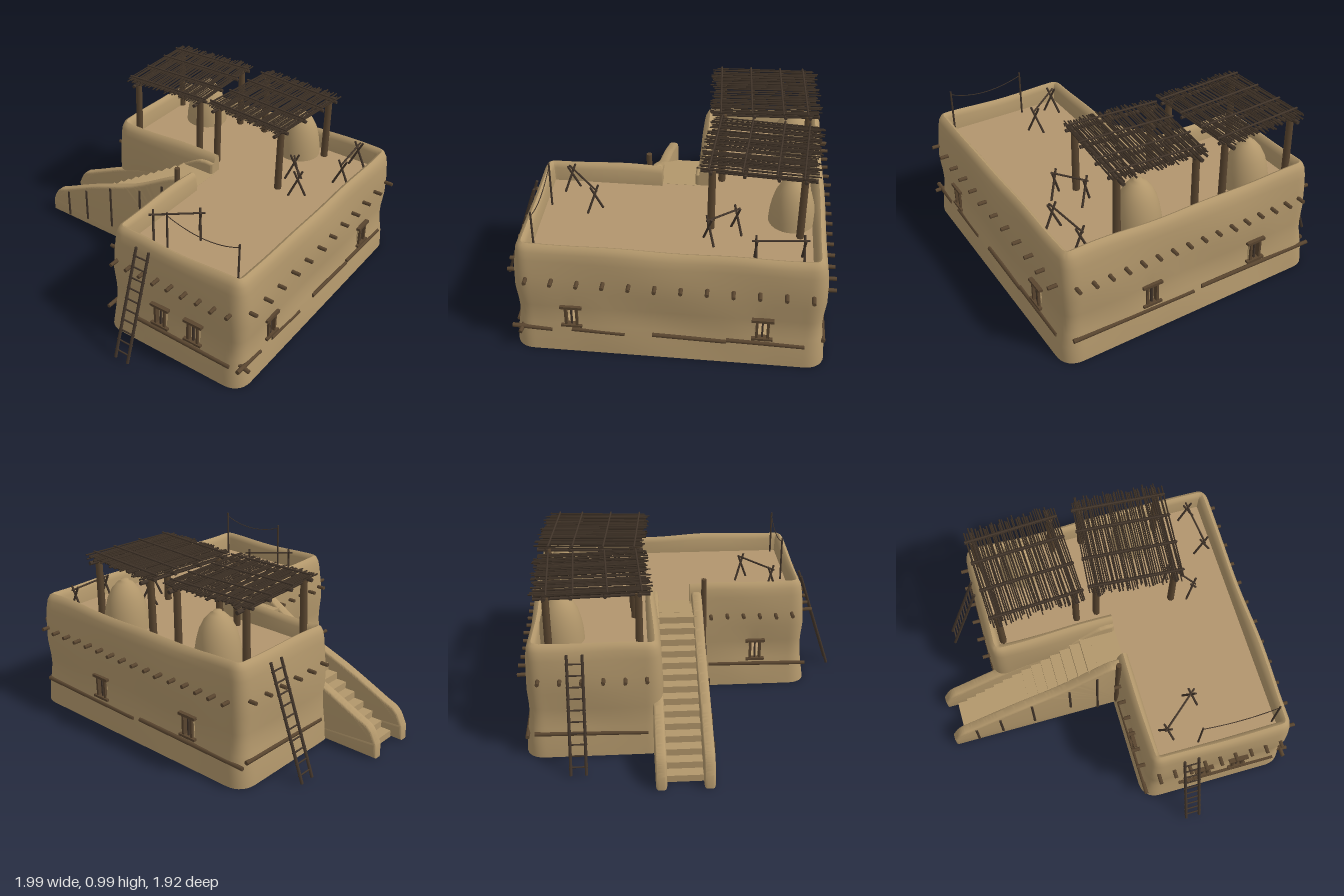
import * as THREE from 'three';
import { toCreasedNormals } from 'three/addons/utils/BufferGeometryUtils.js';

const FLOOR = 0.57;

export function createModel() {
  const model = new THREE.Group();
  const mat = (name, color, side = THREE.FrontSide) => {
    const m = new THREE.MeshStandardMaterial({ color, side });
    m.name = name;
    return m;
  };
  const mud = mat('mud plaster', 0xb2976b, THREE.DoubleSide);
  const earth = mat('packed earth', 0xb2956e);
  const wood = mat('beam wood', 0x59452f);
  const dark = mat('dark wood', 0x42352a);
  const reed = mat('reed', 0x3b2f24);

  let seed = 7;
  const rand = (a, b) => {
    seed = (seed * 16807) % 2147483647;
    return a + (b - a) * seed / 2147483647;
  };
  const group = (name, parent = model) => {
    const g = new THREE.Group();
    g.name = name;
    parent.add(g);
    return g;
  };
  const add = (parent, name, geo, material) => {
    const m = new THREE.Mesh(geo, material);
    m.name = name;
    parent.add(m);
    return m;
  };
  const box = (parent, name, size, pos, material) => {
    const m = add(parent, name, new THREE.BoxGeometry(...size), material);
    m.position.set(...pos);
    return m;
  };
  // Round pole between two points
  const pole = (parent, name, a, b, r, material, sides = 7) => {
    const p = new THREE.Vector3(...a), d = new THREE.Vector3(...b).sub(p);
    const m = add(parent, name, new THREE.CylinderGeometry(r * 0.92, r, d.length(), sides), material);
    m.position.copy(p).addScaledVector(d, 0.5);
    m.quaternion.setFromUnitVectors(new THREE.Vector3(0, 1, 0), d.normalize());
    return m;
  };

  // Window centres on the wall line: x, z, turn about y
  const windows = [
    [0.42, 0.735, 0], [0.64, 0.735, 0], [0.93, 0.44, Math.PI / 2], [0.93, -0.59, Math.PI / 2],
    [0.42, -0.905, Math.PI], [-0.27, -0.905, Math.PI], [0.075, 0.44, -Math.PI / 2],
  ];

  // Outer wall: one profile swept along an L-shaped line, open at the stair
  const corners = [[0.075, 0.03], [0.075, 0.735], [0.93, 0.735], [0.93, -0.905], [-0.635, -0.905], [-0.635, -0.17], [0.115, -0.17]];
  const path = new THREE.Path().moveTo(...corners[0]);
  for (let i = 1; i < corners.length - 1; i++) {
    const c = new THREE.Vector2(...corners[i]);
    const toward = (k) => new THREE.Vector2(...corners[k]).sub(c).setLength(0.08).add(c);
    const p = toward(i - 1), q = toward(i + 1);
    path.lineTo(p.x, p.y);
    path.quadraticCurveTo(c.x, c.y, q.x, q.y);
  }
  path.lineTo(...corners.at(-1));
  const profile = [
    [0.03, 0], [0.021, 0.1], [0.009, 0.18], [0.003, 0.24], [0.004, 0.3], [0.012, 0.4], [0.008, 0.5], [0, 0.6],
    [-0.008, 0.645], [-0.022, 0.674], [-0.038, 0.684], [-0.054, 0.675], [-0.064, 0.65],
    [-0.07, 0.56], [-0.07, 0.3], [-0.065, 0.18], [-0.01, 0.06], [0.008, 0], [0.03, 0],
  ];
  const N = 400, M = profile.length;
  const pts = path.getSpacedPoints(N);
  const pos = [], idx = [];
  for (let i = -1; i <= N + 1; i++) {
    const k = Math.min(Math.max(i, 0), N), p = pts[k];
    const t = pts[Math.min(k + 1, N)].clone().sub(pts[Math.max(k - 1, 0)]).normalize();
    const dent = windows.reduce((sum, [x, z]) => sum + Math.exp(-((p.x - x) ** 2 + (p.y - z) ** 2) / 0.012), 0);
    profile.forEach(([po, py], j) => {
      const s = k / N * 6.26;
      let o = po, y = py;
      if (j < 12 && py > 0) {
        o += 0.006 * Math.sin(s * 5.3 + py * 5) * Math.sin(py * 6 + s * 1.7);
        o -= 0.006 * dent * Math.exp(-((py - 0.25) ** 2) / 0.015);
      }
      if (py > 0.6) y += 0.006 * Math.sin(s * 4.1) + 0.004 * Math.sin(s * 9.7);
      if (i < 0 || i > N) { o = -0.03; y = 0.34; }
      pos.push(p.x - t.y * o, y, p.y + t.x * o);
    });
  }
  const isOpening = (i, y0, y1) => {
    if (i < 1 || i > N || Math.min(y0, y1) < 0.17 || Math.max(y0, y1) > 0.31) return false;
    const mx = (pts[i - 1].x + pts[i].x) / 2, mz = (pts[i - 1].y + pts[i].y) / 2;
    return windows.some(([x, z]) => Math.hypot(mx - x, mz - z) < 0.032);
  };
  for (let i = 0; i < N + 2; i++) {
    for (let j = 0; j < M - 1; j++) {
      if (isOpening(i, profile[j][1], profile[j + 1][1])) continue;
      const a = i * M + j, b = a + M;
      idx.push(a, b, a + 1, b, b + 1, a + 1);
    }
  }
  const wallGeo = new THREE.BufferGeometry();
  wallGeo.setAttribute('position', new THREE.Float32BufferAttribute(pos, 3));
  wallGeo.setIndex(idx);
  add(model, 'outerWall', toCreasedNormals(wallGeo, 0.9), mud);

  // Roof terrace and raised ground floor slabs; inset is measured from the wall line
  const slab = (name, y, inset) => {
    const x0 = 0.075 + inset, x1 = 0.93 - inset, z1 = 0.735 - inset, zb = -0.905 + inset, xw = -0.635 + inset, zn = -0.17 - inset;
    const plan = new THREE.Shape([[x0, z1], [x1, z1], [x1, zb], [xw, zb], [xw, zn], [x0, zn]]
      .map(([x, z]) => new THREE.Vector2(x, z)));
    const geo = new THREE.ExtrudeGeometry(plan, { depth: 0.02, bevelEnabled: false }).rotateX(Math.PI / 2);
    add(model, name, geo, earth).position.y = y;
  };
  slab('roofTerrace', FLOOR, 0.035);
  slab('groundFloor', 0.056, 0.012);
  box(model, 'floorHatch', [0.19, 0.006, 0.07], [0.33, 0.034, -0.2], dark);
  box(model, 'doorThreshold', [0.07, 0.02, 0.2], [0.085, 0.02, 0.26], dark);

  // Window frames with reveals, lintel, sill and bars
  for (const [x, z, turn] of windows) {
    const w = group('window');
    w.position.set(x, 0, z);
    w.rotation.y = turn;
    for (const s of [-1, 1]) {
      box(w, 'reveal', [0.01, 0.12, 0.075], [s * 0.036, 0.24, -0.033], mud);
      box(w, 'reveal', [0.07, 0.01, 0.075], [0, 0.24 + s * 0.062, -0.033], mud);
      box(w, 'jamb', [0.014, 0.13, 0.03], [s * 0.03, 0.24, 0.003], wood);
    }
    box(w, 'bar', [0.01, 0.13, 0.012], [0, 0.24, 0.003], dark);
    box(w, 'lintel', [0.12, 0.016, 0.035], [0, 0.303, 0.005], wood);
    box(w, 'sill', [0.115, 0.014, 0.035], [0, 0.177, 0.007], wood);
  }

  // Projecting roof beam ends
  const beams = group('roofBeams');
  const beamRow = (from, to, n, dx, dz) => {
    for (let i = 0; i < n; i++) {
      const f = i / (n - 1), x = from[0] + (to[0] - from[0]) * f, z = from[1] + (to[1] - from[1]) * f;
      const y = 0.485 + rand(-0.003, 0.003), out = rand(0.048, 0.062);
      pole(beams, 'beamEnd', [x - dx * 0.04, y, z - dz * 0.04], [x + dx * out, y, z + dz * out], 0.012, wood);
    }
  };
  beamRow([0.125, 0.735], [0.87, 0.735], 9, 0, 1);
  beamRow([0.93, 0.67], [0.93, -0.84], 12, 1, 0);
  beamRow([-0.56, -0.905], [0.87, -0.905], 16, 0, -1);
  beamRow([-0.635, -0.84], [-0.635, -0.25], 6, -1, 0);
  beamRow([0.075, 0.16], [0.075, 0.66], 6, -1, 0);

  // Tie logs bedded low in the walls
  const logs = group('tieLogs');
  const log = (x0, z0, x1, z1) => pole(logs, 'tieLog', [x0, 0.148, z0], [x1, 0.136, z1], 0.013, wood);
  log(0.27, 0.75, 0.88, 0.75);
  log(0.9, 0.71, 0.985, 0.72);
  log(0.944, 0.77, 0.944, 0.55);
  log(0.944, 0.44, 0.944, 0.15);
  log(0.944, 0, 0.944, -0.4);
  log(0.944, -0.4, 0.944, -0.82);
  log(0.9, -0.919, 0.15, -0.919);
  log(0.1, -0.919, -0.66, -0.919);
  log(-0.649, -0.88, -0.649, -0.25);
  log(0.061, 0.15, 0.061, 0.76);

  // Stair: two sloping side walls with a thin stepped flight between
  const stair = group('stair');
  const side = new THREE.Shape().moveTo(-0.985, 0.015).lineTo(-0.985, 0.08);
  side.splineThru([[-0.94, 0.16], [-0.85, 0.205], [-0.6, 0.32], [-0.3, 0.44], [-0.02, 0.6], [0.05, 0.625], [0.1, 0.625]]
    .map(([x, y]) => new THREE.Vector2(x, y)));
  side.lineTo(0.1, 0.015);
  for (const z of [0.055, -0.205]) {
    const geo = new THREE.ExtrudeGeometry(side, {
      depth: 0.03, bevelThickness: 0.015, bevelSize: 0.015, bevelSegments: 3, curveSegments: 24,
    });
    add(stair, 'stairWall', toCreasedNormals(geo, 0.9), mud).position.z = z;
  }
  const steps = 14, run = 0.89 / steps, rise = FLOOR / steps;
  for (let i = 0; i < steps; i++) {
    const y = (i + 1) * rise, x = -0.93 + (i + 0.5) * run, h = Math.min(y, 0.08);
    box(stair, 'step', [run, h, 0.24], [x, y - h / 2, -0.06], mud);
  }
  box(stair, 'landing', [0.16, 0.06, 0.24], [0.04, FLOOR - 0.029, -0.06], mud);
  box(stair, 'landingWall', [0.04, 0.54, 0.24], [0.09, 0.27, -0.06], mud);
  // Upright stakes in the stair wall
  for (const [x, y0, y1] of [[-0.85, 0.02, 0.2], [-0.69, 0.05, 0.27], [-0.48, 0.08, 0.37], [-0.24, 0.16, 0.45], [-0.065, 0.01, 0.55]]) {
    pole(stair, 'stake', [x, y0, 0.099], [x, y1, 0.099], 0.009, dark);
  }
  pole(stair, 'stairPost', [0.058, 0.1, 0.115], [0.062, 0.735, 0.115], 0.018, wood);

  // Domed ovens
  const dome = [[0.13, 0], [0.126, 0.06], [0.116, 0.12], [0.1, 0.18], [0.075, 0.23], [0.044, 0.266], [0.024, 0.275], [0.022, 0.285], [0, 0.287]]
    .map(([r, y]) => new THREE.Vector2(r, y));
  for (const x of [-0.32, 0.39]) {
    add(model, 'domedOven', new THREE.LatheGeometry(dome, 32), mud).position.set(x, FLOOR, -0.72);
  }

  // Shade roofs of reeds on posts
  const shade = (x, z, turn) => {
    const g = group('shadeRoof');
    g.position.set(x, 0, z);
    g.rotation.y = turn;
    for (const sx of [-1, 1]) {
      for (const sz of [-1, 1]) {
        pole(g, 'post', [sx * 0.232, FLOOR - 0.01, sz * 0.245], [sx * 0.23, 0.95, sz * 0.245], 0.022, wood);
      }
      pole(g, 'sideBeam', [sx * 0.225, 0.94, -0.31], [sx * 0.225, 0.94, 0.31], 0.012, dark);
    }
    for (const cz of [-0.25, -0.11, 0.07, 0.25]) {
      pole(g, 'crossPole', [-0.28, 0.957, cz], [0.28, 0.957, cz], 0.011, dark);
      pole(g, 'topPole', [-0.28, 0.982, cz + 0.012], [0.28, 0.982, cz + 0.012], 0.006, dark);
    }
    for (let i = 0; i < 46; i++) {
      const rx = -0.272 + 0.544 * i / 45, y = 0.972 + rand(-0.003, 0.004);
      pole(g, 'reed', [rx + rand(-0.006, 0.006), y, rand(-0.33, -0.29)],
        [rx + rand(-0.006, 0.006), y, rand(0.29, 0.33)], rand(0.0038, 0.0055), reed, 5);
    }
  };
  shade(-0.322, -0.54, 0.045);
  shade(0.297, -0.54, -0.075);

  // Ladders leaning on the walls; (ux, uz) is the direction across the rungs
  const ladder = (foot, top, ux, uz) => {
    const g = group('ladder');
    const at = (f, s) => foot.map((v, k) => v + (top[k] - v) * f + s * [ux, 0, uz][k]);
    for (const s of [-0.042, 0.042]) pole(g, 'rail', at(0, s), at(1, s), 0.009, dark);
    for (let i = 0; i < 10; i++) pole(g, 'rung', at(0.07 + i * 0.095, -0.052), at(0.07 + i * 0.095, 0.052), 0.005, dark);
  };
  ladder([0.31, 0.01, 0.95], [0.31, 0.64, 0.745], 1, 0);
  ladder([-0.855, 0.01, -0.635], [-0.64, 0.64, -0.635], 0, 1);

  // Drying racks: crossed legs carrying a bar
  const rack = (ax, az, bx, bz) => {
    const g = group('dryingRack');
    const l = Math.hypot(bx - ax, bz - az), nx = -(bz - az) / l * 0.05, nz = (bx - ax) / l * 0.05;
    for (const [x, z] of [[ax, az], [bx, bz]]) {
      for (const s of [-1, 1]) {
        pole(g, 'leg', [x + s * nx, FLOOR, z + s * nz], [x - s * nx * 0.5, 0.735, z - s * nz * 0.5], 0.007, dark);
      }
    }
    const ex = (bx - ax) * 0.1, ez = (bz - az) * 0.1;
    pole(g, 'bar', [ax - ex, 0.718, az - ez], [bx + ex, 0.718, bz + ez], 0.006, dark);
  };
  rack(0.225, 0.545, 0.42, 0.38);
  rack(0.79, -0.53, 0.765, -0.78);
  rack(0.64, -0.275, 0.53, -0.42);

  // Clothesline
  const line = group('clothesline');
  for (const x of [0.39, 0.84]) pole(line, 'linePole', [x, FLOOR, 0.635], [x, 0.85, 0.635], 0.006, dark);
  const sag = new THREE.QuadraticBezierCurve3(new THREE.Vector3(0.39, 0.83, 0.635),
    new THREE.Vector3(0.64, 0.74, 0.635), new THREE.Vector3(0.84, 0.83, 0.635));
  add(line, 'cord', new THREE.TubeGeometry(sag, 16, 0.0025, 5), dark);

  return model;
}
